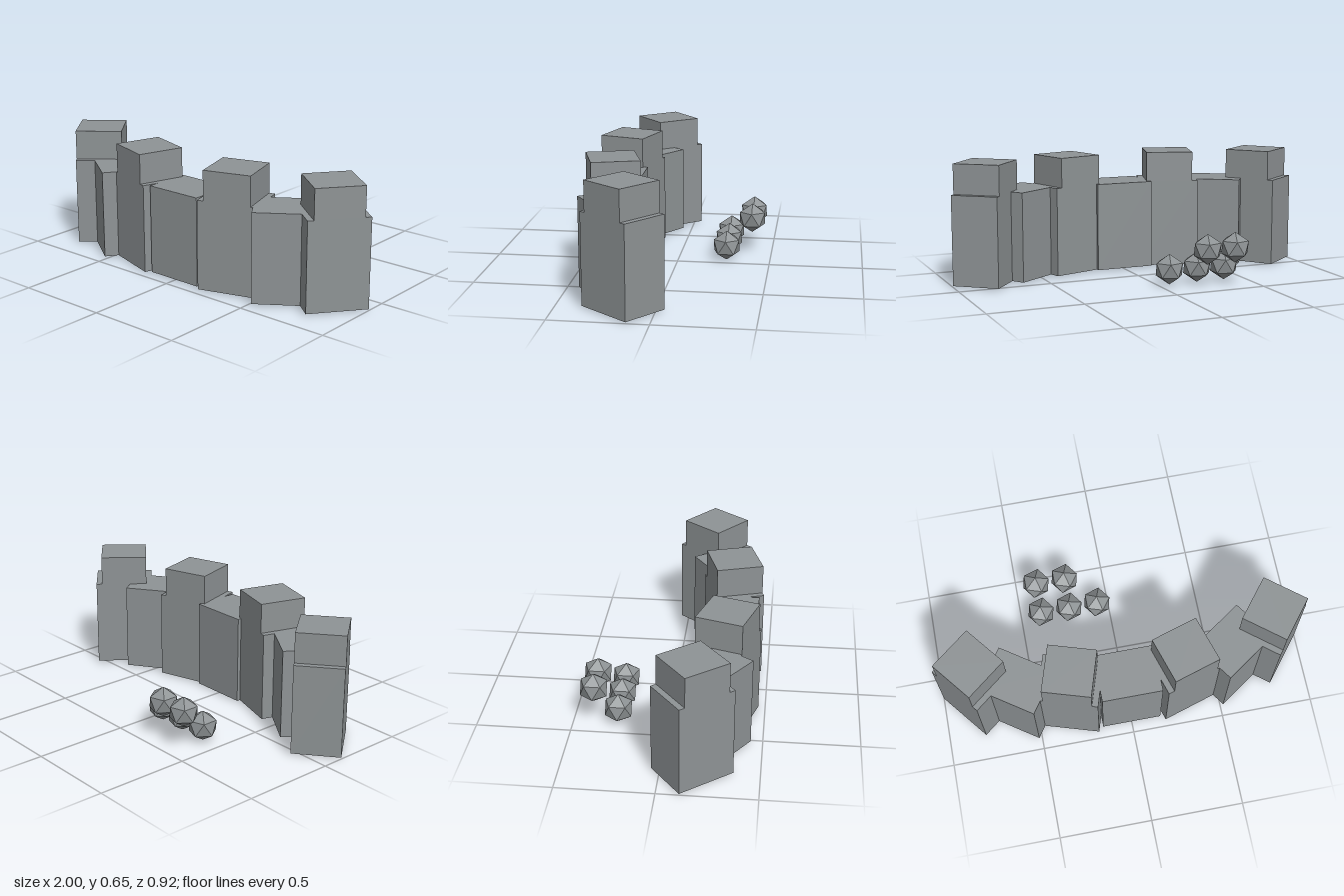
import * as THREE from 'three';

export function createModel() {
  const model = new THREE.Group();
  const stone = new THREE.MeshStandardMaterial({ color: 0x8e9395 });
  stone.name = 'grey stone';

  const add = (parent, name, geometry, x, y, z) => {
    const mesh = new THREE.Mesh(geometry, stone);
    mesh.name = name;
    mesh.position.set(x, y, z);
    parent.add(mesh);
    return mesh;
  };

  // Curved wall: seven blocks on a shallow arc, every other one carrying a merlon
  const wall = new THREE.Group();
  wall.name = 'wall';
  model.add(wall);
  const depth = 0.254, bottom = 0.008, wallTop = 0.486, merlonTop = 0.646;
  const blockGeo = new THREE.BoxGeometry(0.32, wallTop - bottom, depth);
  const merlonGeo = new THREE.BoxGeometry(0.256, merlonTop - wallTop, depth);
  for (let i = -3; i <= 3; i++) {
    const angle = i * 0.3;
    const section = new THREE.Group();
    section.name = 'wallSection';
    section.position.set(1.022 * Math.sin(angle), 0, 0.313 - 0.4 * (1 - Math.cos(angle)));
    section.rotation.y = angle;
    wall.add(section);
    add(section, 'wallBlock', blockGeo, 0, (bottom + wallTop) / 2, 0);
    if (i % 2 !== 0) add(section, 'merlon', merlonGeo, 0, (wallTop + merlonTop) / 2, 0);
  }

  // Stack of faceted balls behind the wall, each standing on a point
  const pile = new THREE.Group();
  pile.name = 'ballPile';
  model.add(pile);
  const radius = 0.0815;
  const ballGeo = new THREE.IcosahedronGeometry(radius, 0);
  ballGeo.rotateX(-Math.atan((1 + Math.sqrt(5)) / 2));
  ballGeo.rotateY(Math.PI / 2);
  for (let i = 0; i < 3; i++) {
    const x = -0.385 + i * 0.16;
    add(pile, 'lowerBall', ballGeo, x, radius + 0.001, -0.263);
    if (i < 2) add(pile, 'upperBall', ballGeo, x, 0.199, -0.391);
  }

  return model;
}
